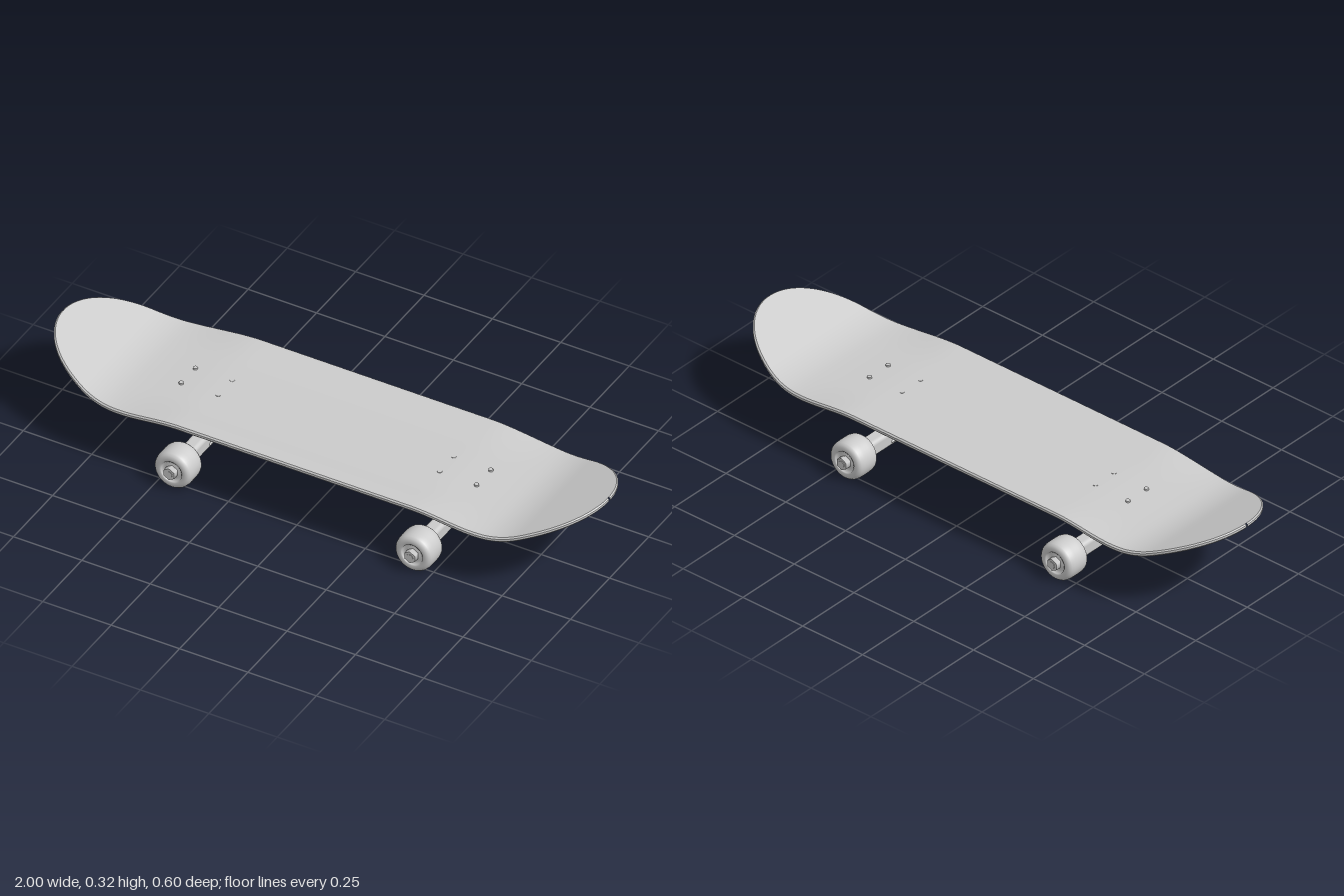
import * as THREE from 'three';
import { toCreasedNormals } from 'three/addons/utils/BufferGeometryUtils.js';
import { RoundedBoxGeometry } from 'three/addons/geometries/RoundedBoxGeometry.js';

const material = new THREE.MeshStandardMaterial({ color: 0xcccccc });

function add(parent, name, geometry, x = 0, y = 0, z = 0) {
  const mesh = new THREE.Mesh(geometry, material);
  mesh.name = name;
  mesh.position.set(x, y, z);
  parent.add(mesh);
  return mesh;
}

// Cylinder between two points
function rod(parent, name, a, b, r, sides = 24, r2 = r) {
  const from = new THREE.Vector3(...a), to = new THREE.Vector3(...b);
  const dir = to.clone().sub(from);
  const mid = from.add(to).multiplyScalar(0.5);
  const mesh = add(parent, name, new THREE.CylinderGeometry(r2, r, dir.length(), sides), mid.x, mid.y, mid.z);
  mesh.quaternion.setFromUnitVectors(new THREE.Vector3(0, 1, 0), dir.normalize());
  return mesh;
}

// Side profile in x/y, extruded across z
function slab(points, width, bevel = 0.004) {
  const shape = new THREE.Shape(points.map(p => new THREE.Vector2(...p)));
  const geo = new THREE.ExtrudeGeometry(shape, {
    depth: width - 2 * bevel, bevelThickness: bevel, bevelSize: bevel, bevelOffset: -bevel, bevelSegments: 2,
  });
  return geo.translate(0, 0, bevel - width / 2);
}

// Deck: lengthwise stations, each a closed loop over the top, rim and underside
const halfWidth = x => {
  const t = Math.max(0, (Math.abs(x) - 0.55) / 0.45);
  return Math.max(0.003, 0.266 * Math.sqrt(Math.max(0, 1 - t ** 2.6)));
};

function deckTop(x, z) {
  const a = Math.abs(x), r = Math.max(0, a - 0.68), slope = 0.385;
  const kick = r < 0.12 ? slope * r * r / 0.24 : slope * (r - 0.06);
  const mid = 1 - THREE.MathUtils.smoothstep(a, 0.42, 0.68);
  const concave = 0.012 * mid * THREE.MathUtils.smoothstep(Math.abs(z), 0.1, 0.27);
  return 0.222 + 0.01 * mid + kick + concave;
}

function deckGeometry() {
  const loop = [], across = 24, thick = 0.018, inset = 0.005, stations = 140;
  for (let k = 0; k <= across; k++) loop.push([2 * k / across - 1, 0, true]);
  loop.push([1, 0.005, false], [1, thick - 0.005, false]);
  for (let k = across; k >= 0; k--) loop.push([2 * k / across - 1, thick, true]);
  loop.push([-1, thick - 0.005, false], [-1, 0.005, false]);
  const pos = [], index = [], n = loop.length;
  for (let i = 0; i <= stations; i++) {
    const x = Math.sin(Math.PI * (i / stations - 0.5)), w = halfWidth(x);
    for (const [v, drop, inner] of loop) {
      const px = inner ? x * (1 - inset) : x;
      const pz = v * w * (inner ? 0.982 : 1);
      pos.push(px, deckTop(px, pz) - drop, pz);
    }
  }
  for (let i = 0; i < stations; i++) {
    for (let j = 0; j < n; j++) {
      const a = i * n + j, b = i * n + (j + 1) % n;
      index.push(a, b, a + n, b, b + n, a + n);
    }
  }
  const geo = new THREE.BufferGeometry();
  geo.setAttribute('position', new THREE.Float32BufferAttribute(pos, 3));
  geo.setIndex(index);
  return toCreasedNormals(geo, 0.6);
}

// Wheel profile: radius and offset along the axle
function wheelGeometry() {
  const half = [[0.068, 0.012], [0.0675, 0.024], [0.065, 0.035], [0.06, 0.042], [0.052, 0.046],
    [0.042, 0.046], [0.038, 0.044], [0.036, 0.036], [0.024, 0.036], [0.022, 0.039], [0, 0.039]];
  const profile = [...half.slice().reverse().map(([r, h]) => [r, -h]), ...half];
  const geo = new THREE.LatheGeometry(profile.map(p => new THREE.Vector2(...p)), 48);
  return geo.rotateX(Math.PI / 2);
}

// Arm rising from the axle bar, leaning outward to the pivot
function hangerArmGeometry() {
  const s = new THREE.Shape();
  s.moveTo(-0.085, 0.055);
  s.lineTo(0.085, 0.055);
  s.lineTo(0.082, 0.093);
  s.bezierCurveTo(0.065, 0.105, 0.065, 0.135, 0.034, 0.158);
  s.lineTo(-0.034, 0.158);
  s.bezierCurveTo(-0.065, 0.135, -0.065, 0.105, -0.082, 0.093);
  const geo = new THREE.ExtrudeGeometry(s, {
    depth: 0.026, bevelThickness: 0.008, bevelSize: 0.008, bevelOffset: -0.008, bevelSegments: 3, curveSegments: 10,
  });
  geo.translate(0, 0, -0.013).rotateY(Math.PI / 2);
  const p = geo.attributes.position;
  for (let i = 0; i < p.count; i++) p.setX(i, p.getX(i) + (p.getY(i) - 0.07) * 0.95);
  geo.computeVertexNormals();
  return toCreasedNormals(geo, 0.6);
}

// One truck with its wheels; +x points toward the end of the board
function createTruck() {
  const truck = new THREE.Group();

  add(truck, 'baseplate', new RoundedBoxGeometry(0.19, 0.014, 0.12, 2, 0.004), 0.04, 0.21, 0);
  add(truck, 'kingpinMount', slab([[-0.05, 0.208], [-0.045, 0.15], [-0.02, 0.132], [0.022, 0.17], [0.03, 0.208]], 0.07));
  add(truck, 'pivotCup', slab([[0.055, 0.208], [0.068, 0.178], [0.1, 0.155], [0.128, 0.18], [0.135, 0.208]], 0.06));
  rod(truck, 'pivotPin', [0.06, 0.13, 0], [0.1, 0.18, 0], 0.02);

  add(truck, 'axleBar', new RoundedBoxGeometry(0.052, 0.057, 0.376, 4, 0.014), 0, 0.0685, 0);
  add(truck, 'hangerArm', hangerArmGeometry());

  // Kingpin stack on a slanted axis
  const along = t => [-0.02 + t, 0.16 - t, 0];
  rod(truck, 'upperBushing', along(0), along(0.035), 0.03, 24, 0.026);
  rod(truck, 'lowerBushing', along(0.055), along(0.076), 0.024);
  rod(truck, 'kingpinWasher', along(0.076), along(0.081), 0.025);
  rod(truck, 'kingpinNut', along(0.081), along(0.093), 0.019, 6);
  rod(truck, 'kingpin', along(0), along(0.1), 0.01, 16);

  // Axle, wheels and axle nuts
  rod(truck, 'axle', [0, 0.07, -0.301], [0, 0.07, 0.301], 0.012, 16);
  for (const side of [-1, 1]) {
    add(truck, 'wheel', wheelGeometry(), 0, 0.07, side * 0.239);
    rod(truck, 'axleWasher', [0, 0.07, side * 0.186], [0, 0.07, side * 0.202], 0.019);
    rod(truck, 'axleNut', [0, 0.07, side * 0.276], [0, 0.07, side * 0.299], 0.022, 6);
  }

  // Mounting bolts through the deck
  for (const x of [-0.035, 0.1]) {
    for (const z of [-0.045, 0.045]) {
      rod(truck, 'mountingBolt', [x, 0.2, z], [x, 0.2335, z], 0.008, 12);
      rod(truck, 'mountingNut', [x, 0.196, z], [x, 0.206, z], 0.01, 6);
    }
  }
  return truck;
}

export function createModel() {
  const board = new THREE.Group();
  board.name = 'skateboard';
  add(board, 'deck', deckGeometry());
  for (const side of [-1, 1]) {
    const truck = createTruck();
    truck.name = side > 0 ? 'leftTruck' : 'rightTruck';
    truck.position.x = side * 0.44;
    if (side < 0) truck.rotation.y = Math.PI;
    board.add(truck);
  }
  return board;
}
